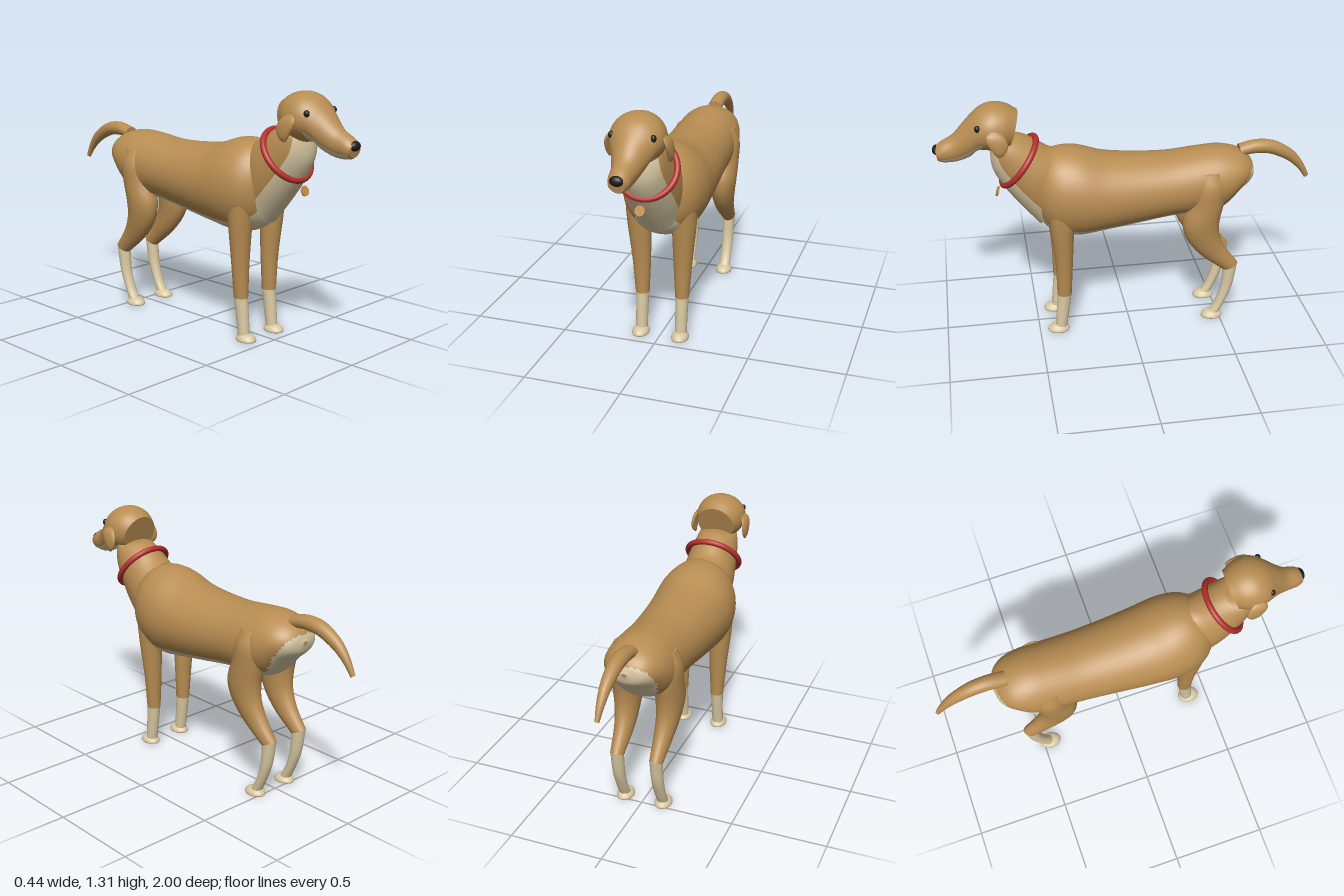
import * as THREE from 'three';

const mat = (name, color) => Object.assign(new THREE.MeshStandardMaterial({ color }), { name });

// Smooth loft through elliptical sections [z1, y1, z2, y2, halfWidth, centreX]:
// each section spans two outline points of the side profile.
// isPale(cos of ring angle, x, y, z) sends a face to the second material.
function loft(sections, steps, sides, isPale = () => false) {
  const curve = pick => new THREE.CatmullRomCurve3(sections.map(pick), false, 'catmullrom', 0.5);
  const first = curve(s => new THREE.Vector3(s[4], s[1], s[0]));
  const second = curve(s => new THREE.Vector3(s[5] || 0, s[3], s[2]));
  const pos = [], groups = [[], []];
  const point = i => pos.slice(i * 3, i * 3 + 3);

  for (let i = 0; i <= steps; i++) {
    const a = first.getPoint(i / steps), b = second.getPoint(i / steps);
    for (let j = 0; j < sides; j++) {
      const t = (j / sides) * Math.PI * 2, c = Math.cos(t);
      pos.push(b.x + Math.sin(t) * a.x,
        (a.y + b.y) / 2 + c * (a.y - b.y) / 2,
        (a.z + b.z) / 2 + c * (a.z - b.z) / 2);
    }
  }
  for (let i = 0; i < steps; i++) {
    for (let j = 0; j < sides; j++) {
      const k = (j + 1) % sides;
      const p = i * sides + j, q = i * sides + k, r = p + sides, s = q + sides;
      const A = point(p), B = point(s);
      const c = Math.cos(((j + 0.5) / sides) * Math.PI * 2);
      const pale = isPale(c, (A[0] + B[0]) / 2, (A[1] + B[1]) / 2, (A[2] + B[2]) / 2);
      groups[pale ? 1 : 0].push(p, q, r, q, s, r);
    }
  }
  // flat end caps with their own vertices
  for (const end of [0, steps]) {
    const base = pos.length / 3, mid = [0, 0, 0];
    for (let j = 0; j < sides; j++) {
      const v = point(end * sides + j);
      pos.push(...v);
      v.forEach((n, d) => { mid[d] += n / sides; });
    }
    pos.push(...mid);
    for (let j = 0; j < sides; j++) {
      const a = base + j, b = base + (j + 1) % sides, m = base + sides;
      groups[0].push(...(end ? [a, b, m] : [b, a, m]));
    }
  }
  const g = new THREE.BufferGeometry();
  g.setAttribute('position', new THREE.Float32BufferAttribute(pos, 3));
  g.setIndex([...groups[0], ...groups[1]]);
  g.addGroup(0, groups[0].length, 0);
  g.addGroup(groups[0].length, groups[1].length, 1);
  g.computeVertexNormals();
  return g;
}

export function createModel() {
  const model = new THREE.Group();
  model.name = 'dog';
  const tan = mat('tan coat', 0xb88d52);
  const cream = mat('cream coat', 0xd9c9a3);
  const black = mat('black', 0x1c1b1b);
  const red = mat('red collar', 0xb3302b);
  const brass = mat('brass tag', 0xc4914c);
  const coat = [tan, cream];
  const add = (name, geometry, material, x = 0, y = 0, z = 0) => {
    const mesh = new THREE.Mesh(geometry, material);
    mesh.name = name;
    mesh.position.set(x, y, z);
    model.add(mesh);
    return mesh;
  };

  // Body, chest to rump, with pale belly and rump
  add('body', loft([
    [0.49, 0.84, 0.49, 0.80, 0.03],
    [0.47, 0.97, 0.47, 0.66, 0.13],
    [0.39, 1.035, 0.40, 0.58, 0.195],
    [0.27, 1.04, 0.28, 0.55, 0.22],
    [0.12, 0.995, 0.12, 0.57, 0.212],
    [-0.05, 0.975, -0.05, 0.595, 0.198],
    [-0.22, 0.97, -0.22, 0.62, 0.186],
    [-0.38, 0.985, -0.38, 0.63, 0.18],
    [-0.50, 0.99, -0.50, 0.65, 0.175],
    [-0.60, 0.965, -0.59, 0.74, 0.145],
    [-0.66, 0.92, -0.66, 0.80, 0.09],
    [-0.68, 0.87, -0.68, 0.85, 0.015],
  ], 66, 40, (c, x, y, z) => (z > -0.5 && c < -0.72) ||
    (z <= -0.5 && y < 0.67 - (z + 0.5) * 1.4 && Math.abs(x) < 0.13)), coat);

  // Neck with pale bib
  add('neck', loft([
    [0.47, 0.62, 0.38, 1.04, 0.14],
    [0.575, 0.75, 0.42, 1.055, 0.142],
    [0.66, 0.87, 0.485, 1.10, 0.13],
    [0.705, 0.97, 0.55, 1.13, 0.118],
    [0.705, 1.07, 0.60, 1.13, 0.105],
    [0.68, 1.12, 0.62, 1.16, 0.09],
  ], 30, 40, c => c > 0.42), coat);

  // Head tapering to the snout
  add('head', loft([
    [0.62, 1.07, 0.56, 1.265, 0.105],
    [0.67, 1.06, 0.62, 1.30, 0.13],
    [0.73, 1.07, 0.69, 1.31, 0.134],
    [0.77, 1.07, 0.76, 1.285, 0.116],
    [0.81, 1.035, 0.83, 1.22, 0.085],
    [0.88, 1.01, 0.89, 1.155, 0.062],
    [0.95, 1.01, 0.95, 1.12, 0.053],
    [0.972, 1.02, 0.985, 1.095, 0.042],
  ], 36, 36, (c, x, y, z) => c > 0.5 && z > 0.75 && z < 0.965), coat);

  const ball = new THREE.SphereGeometry(1, 20, 14);
  add('nose', ball, black, 0, 1.077, 0.977).scale.set(0.034, 0.025, 0.022);

  // Tail
  add('tail', loft([
    [-0.60, 0.99, -0.60, 0.925, 0.04],
    [-0.70, 1.01, -0.69, 0.935, 0.04],
    [-0.80, 0.995, -0.775, 0.925, 0.037],
    [-0.90, 0.935, -0.87, 0.88, 0.029],
    [-0.96, 0.86, -0.935, 0.825, 0.02],
    [-0.998, 0.785, -0.975, 0.77, 0.011],
  ], 24, 20), coat);

  // Collar ring, tilted with the neck, and hanging tag
  add('collar', new THREE.TorusGeometry(0.148, 0.016, 14, 56), red, 0, 0.985, 0.565)
    .rotation.x = -Math.atan2(0.21, 0.27);
  const tag = new THREE.CylinderGeometry(0.026, 0.026, 0.008, 24).rotateX(Math.PI / 2);
  add('collarTag', tag, brass, 0, 0.818, 0.682).rotation.x = -0.33;

  const pawGeometry = new THREE.LatheGeometry(
    [[0, 0], [0.97, 0], [1, 0.15], [0.94, 0.45], [0.72, 0.78], [0.4, 0.95], [0, 1]]
      .map(p => new THREE.Vector2(...p)), 28);

  for (const [side, s] of [['left', 1], ['right', -1]]) {
    const part = name => side + name;
    const limb = (name, sections, steps, material) => add(part(name),
      loft(sections.map(r => [...r.slice(0, 5), r[5] * s]), steps, 24), material);

    add(part('Eye'), ball, black, s * 0.102, 1.217, 0.767).scale.set(0.014, 0.018, 0.015);

    limb('Ear', [
      [0.67, 1.21, 0.70, 1.212, 0.006, 0.125],
      [0.635, 1.18, 0.728, 1.19, 0.013, 0.142],
      [0.622, 1.135, 0.725, 1.155, 0.014, 0.151],
      [0.64, 1.095, 0.70, 1.11, 0.012, 0.152],
      [0.665, 1.075, 0.68, 1.08, 0.005, 0.148],
    ], 16, coat);

    // Front leg
    limb('FrontUpperLeg', [
      [0.28, 0.76, 0.44, 0.76, 0.065, 0.125],
      [0.30, 0.62, 0.425, 0.62, 0.062, 0.12],
      [0.312, 0.42, 0.405, 0.42, 0.049, 0.112],
      [0.322, 0.225, 0.40, 0.225, 0.036, 0.108],
    ], 18, coat);
    limb('FrontLowerLeg', [
      [0.323, 0.226, 0.399, 0.226, 0.034, 0.108],
      [0.336, 0.13, 0.407, 0.13, 0.032, 0.108],
      [0.352, 0.025, 0.415, 0.025, 0.031, 0.108],
    ], 10, cream);
    add(part('FrontPaw'), pawGeometry, cream, s * 0.108, 0, 0.398).scale.set(0.046, 0.037, 0.06);

    // Hind leg with bent hock
    limb('HindThigh', [
      [-0.48, 0.90, -0.37, 0.90, 0.03, 0.135],
      [-0.505, 0.82, -0.34, 0.82, 0.065, 0.13],
      [-0.50, 0.72, -0.315, 0.72, 0.075, 0.12],
      [-0.48, 0.61, -0.28, 0.61, 0.073, 0.118],
      [-0.485, 0.52, -0.305, 0.505, 0.062, 0.115],
      [-0.525, 0.43, -0.385, 0.40, 0.049, 0.11],
      [-0.595, 0.335, -0.515, 0.295, 0.035, 0.108],
    ], 30, coat);
    limb('HindLowerLeg', [
      [-0.594, 0.335, -0.515, 0.30, 0.034, 0.108],
      [-0.572, 0.20, -0.506, 0.19, 0.032, 0.108],
      [-0.535, 0.10, -0.477, 0.09, 0.03, 0.108],
      [-0.50, 0.025, -0.44, 0.025, 0.03, 0.108],
    ], 14, cream);
    add(part('HindPaw'), pawGeometry, cream, s * 0.108, 0, -0.46).scale.set(0.046, 0.037, 0.06);
  }
  return model;
}
